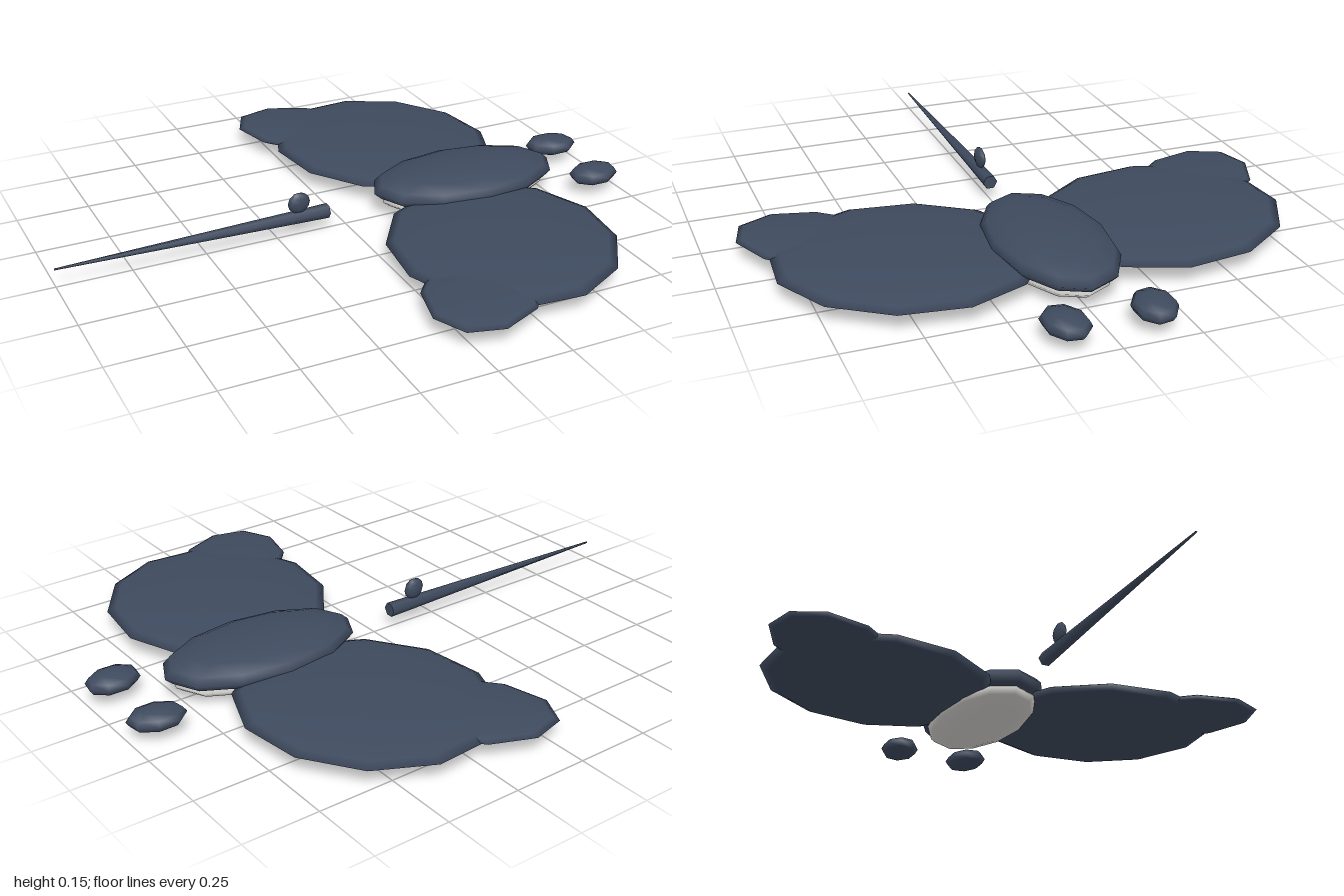
import * as THREE from 'three';

export function createModel() {
  const group = new THREE.Group();
  group.name = 'ray';
  const slate = new THREE.MeshStandardMaterial({ color: 0x3e4a5e });
  slate.name = 'slate';
  const pale = new THREE.MeshStandardMaterial({ color: 0xd8d6d2 });
  pale.name = 'paleBelly';

  const add = (name, geometry, material) => {
    const mesh = new THREE.Mesh(geometry, material);
    mesh.name = name;
    group.add(mesh);
    return mesh;
  };

  // Flattened ellipsoid whose outline is spanned by two half axes a, b given as [x, z]
  const blob = (name, material, center, a, b, height, sides, rings = 8) => {
    if (a[0] * b[1] - a[1] * b[0] < 0) b = [-b[0], -b[1]];
    const geometry = new THREE.SphereGeometry(1, sides, rings);
    geometry.applyMatrix4(new THREE.Matrix4().makeBasis(
      new THREE.Vector3(a[0], 0, a[1]),
      new THREE.Vector3(0, height, 0),
      new THREE.Vector3(b[0], 0, b[1]),
    ).setPosition(...center));
    return add(name, geometry, material);
  };

  // Trunk and pale underside
  blob('body', slate, [0.455, 0.09, 0], [0.345, 0], [0, 0.19], 0.06, 12);
  blob('belly', pale, [0.455, 0.05, 0], [0.31, 0], [0, 0.165], 0.046, 12);

  // Wings, wing tips and head lobes, mirrored across the body
  for (const [side, s] of [['left', -1], ['right', 1]]) {
    blob(side + 'Wing', slate, [0.354, 0.065, s * 0.43],
      [0.38, s * -0.08], [0.045, s * 0.41], 0.034, 12);
    blob(side + 'WingTip', slate, [0.145, 0.065, s * 0.665],
      [-0.225, s * 0.095], [0.012, s * 0.218], 0.022, 10);
    blob(side + 'HeadLobe', slate, [0.908, 0.066, s * 0.138],
      [0.09, s * -0.025], [0.025, s * 0.065], 0.034, 8, 6);
  }

  // Whip tail tapering towards -x
  const tail = new THREE.CylinderGeometry(0.003, 0.025, 0.935, 6);
  tail.rotateZ(Math.PI / 2);
  tail.translate(-0.5325, 0.067, 0);
  add('tail', tail, slate);

  // Small fin on the tail base
  blob('tailFin', slate, [-0.17, 0.118, 0], [0.04, 0], [0, 0.016], 0.037, 8, 6);

  return group;
}
